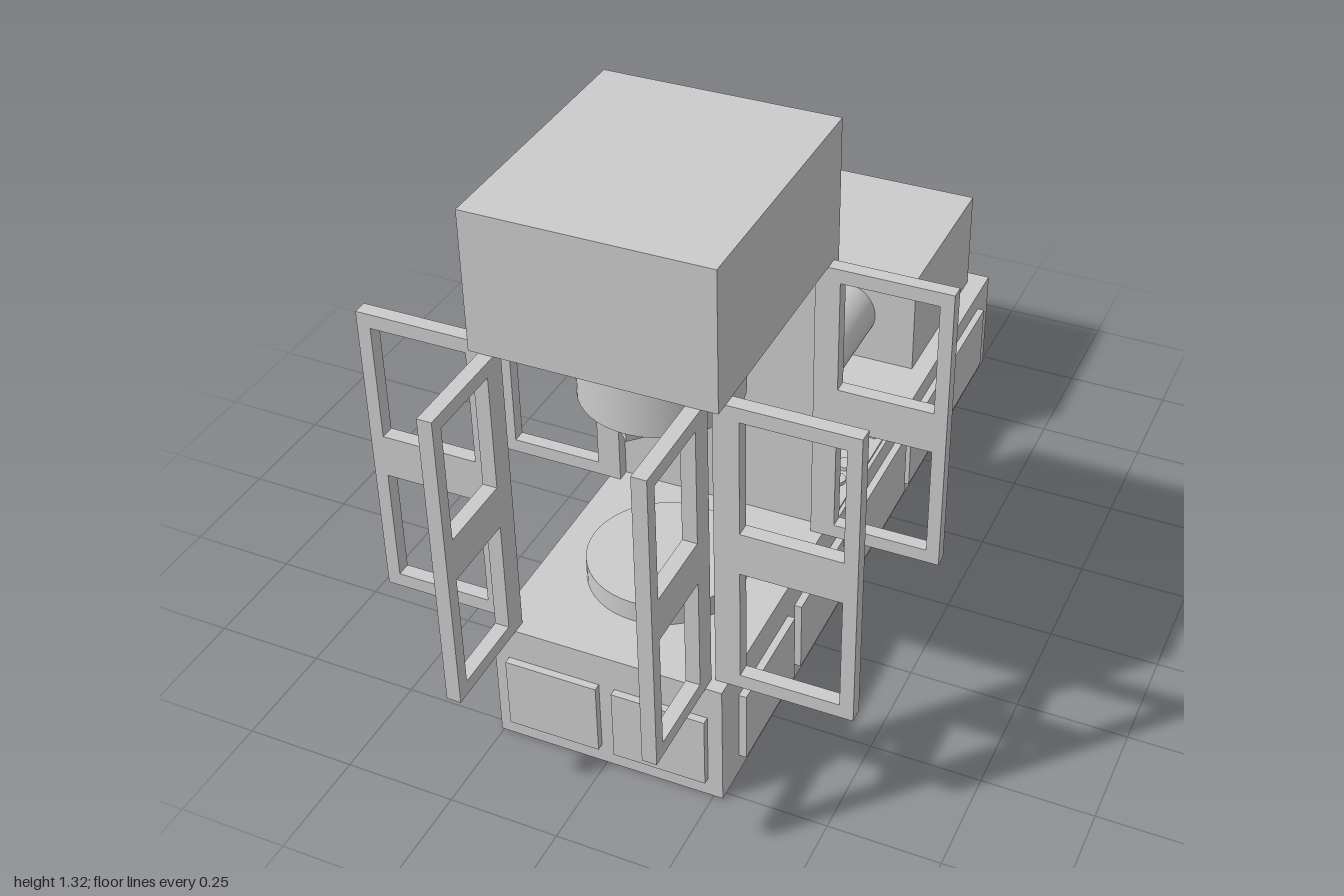
import * as THREE from 'three';

const mat = new THREE.MeshStandardMaterial({ color: 0xcccccc });

export function createModel() {
  const root = new THREE.Group();
  root.name = 'machiningCell';

  const add = (name, geo, x = 0, y = 0, z = 0) => {
    const m = new THREE.Mesh(geo, mat);
    m.name = name;
    m.position.set(x, y, z);
    root.add(m);
    return m;
  };
  // box given by its minimum and maximum corners
  const box = (name, x0, x1, y0, y1, z0, z1) =>
    add(name, new THREE.BoxGeometry(x1 - x0, y1 - y0, z1 - z0), (x0 + x1) / 2, (y0 + y1) / 2, (z0 + z1) / 2);
  // upright disc
  const disc = (name, r, y0, y1, x, z, seg = 48) =>
    add(name, new THREE.CylinderGeometry(r, r, y1 - y0, seg), x, (y0 + y1) / 2, z);

  const W = 0.263, FRONT = 0.77, BACK = -0.98;

  // Base, work platform, rear wall and head
  box('base', -W, W, 0, 0.27, BACK, FRONT);
  box('platform', -W, W, 0.27, 0.3, 0.16, FRONT);
  box('rearWall', -W, W, 0.3, 1.0, 0.16, 0.19);
  box('head', -W, W, 1.0, 1.315, 0.16, FRONT);

  // Spindle, turntable and tool blocks
  disc('spindle', 0.174, 0.79, 1.0, 0, 0.468);
  disc('turntable', 0.174, 0.3, 0.35, 0, 0.468);
  box('toolBlock', -0.135, -0.085, 0.757, 0.79, 0.305, 0.425);
  box('toolBlock', -0.041, 0.079, 0.757, 0.79, 0.54, 0.59).rotation.y = Math.PI / 4;

  // Drive housing and shaft
  box('driveHousing', -0.218, 0.218, 0.27, 0.528, -0.937, -0.5);
  const shaft = add('driveShaft', new THREE.CylinderGeometry(0.079, 0.079, 0.68, 48), 0.037, 0.4, -0.17);
  shaft.rotation.x = Math.PI / 2;

  // Control panel with display and buttons
  box('controlPanel', 0.17, 0.254, 0.27, 0.275, -0.33, 0.105);
  box('display', 0.188, 0.238, 0.275, 0.284, -0.288, -0.185);
  for (let i = 0; i < 4; i++) disc('button', 0.021, 0.275, 0.284, 0.212, 0.062 - i * 0.062, 24);

  // Window frame: hinge edge at u = 0, two openings
  const doorGeometry = (width) => {
    const rect = (P, x0, x1, y0, y1) => {
      const p = new P();
      p.moveTo(x0, y0).lineTo(x1, y0).lineTo(x1, y1).lineTo(x0, y1).closePath();
      return p;
    };
    const s = rect(THREE.Shape, 0, width, 0.3, 1.0);
    for (const [y0, y1] of [[0.333, 0.6], [0.7, 0.967]])
      s.holes.push(rect(THREE.Path, 0.055, width - 0.03, y0, y1));
    return new THREE.ExtrudeGeometry(s, { depth: 0.032, bevelEnabled: false }).translate(0, 0, -0.016);
  };
  const sideDoor = doorGeometry(0.3), frontDoor = doorGeometry(0.26);
  for (const s of [1, -1]) {
    for (const z of [0.204, 0.722])
      add('sideDoor', sideDoor, s * 0.235, 0, z).rotation.y = s > 0 ? 0 : Math.PI;
    add('frontDoor', frontDoor, s * 0.218 - 0.007, 0, 0.74).rotation.y = -Math.PI / 2;
  }

  // Raised cover panels around the base
  const T = 0.017;
  const spans = [[0.417, 0.684], [0.123, 0.38], [-0.298, 0.086], [-0.6, -0.33], [-0.897, -0.63]];
  for (const s of [1, -1]) {
    for (const [z0, z1] of spans)
      box('sidePanel', s * (W + T / 2) - T / 2, s * (W + T / 2) + T / 2, 0.047, 0.22, z0, z1);
    const x0 = s > 0 ? 0.018 : -0.23, x1 = x0 + 0.212;
    box('frontPanel', x0, x1, 0.047, 0.22, FRONT, FRONT + T);
    box('backPanel', x0, x1, 0.047, 0.22, BACK - T, BACK);
  }

  // The whole machine stands very slightly turned
  root.rotation.y = 0.01;
  const group = new THREE.Group();
  group.name = 'machine';
  group.add(root);
  return group;
}
